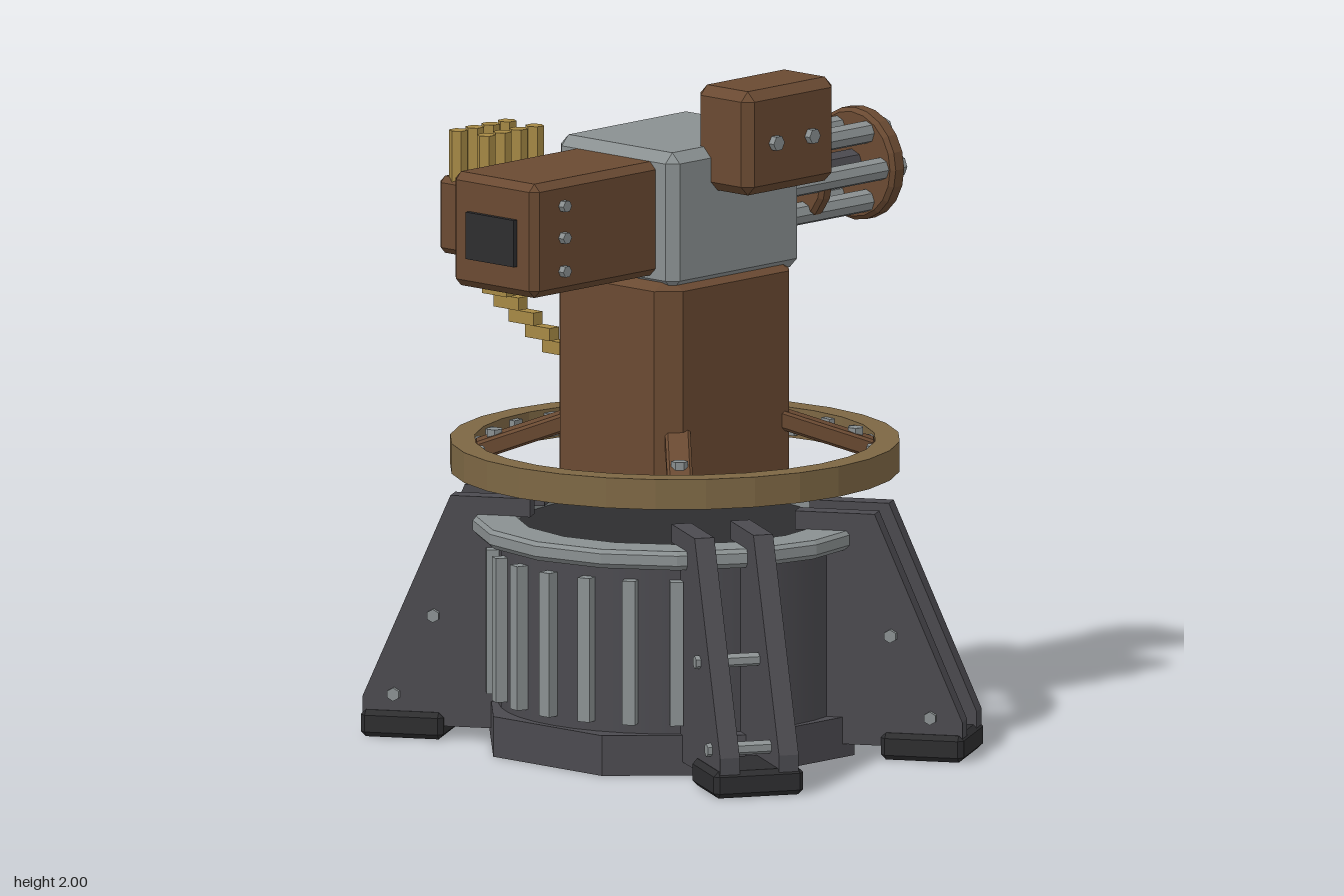
import * as THREE from 'three';
import { ConvexGeometry } from 'three/addons/geometries/ConvexGeometry.js';

const paint = (name, color) => {
  const m = new THREE.MeshStandardMaterial({ color });
  m.name = name;
  return m;
};

export function createModel() {
  const brown = paint('brown armour', 0x6a4a32);
  const grey = paint('light steel', 0x8a9091);
  const dark = paint('dark steel', 0x4b4a4f);
  const black = paint('black', 0x2d2d2f);
  const bronze = paint('bronze ring', 0x7d6744);
  const brass = paint('brass', 0xa68945);

  const model = new THREE.Group();
  const base = new THREE.Group();
  base.name = 'base';
  base.position.z = 0.02;
  const turret = new THREE.Group();
  turret.name = 'turret';
  model.add(base, turret);

  const add = (parent, name, geo, mat, x = 0, y = 0, z = 0) => {
    const m = new THREE.Mesh(geo, mat);
    m.name = name;
    m.position.set(x, y, z);
    parent.add(m);
    return m;
  };
  const flat = (geo) => {
    const g = geo.index ? geo.toNonIndexed() : geo;
    g.computeVertexNormals();
    return g;
  };
  // Box with chamfered edges; c is the chamfer along each axis
  const chamferBox = (w, h, d, c, cy = c, cz = c) => {
    const pts = [];
    for (const sx of [-1, 1]) for (const sy of [-1, 1]) for (const sz of [-1, 1]) {
      const a = w / 2, b = h / 2, e = d / 2;
      pts.push(
        new THREE.Vector3(sx * a, sy * (b - cy), sz * (e - cz)),
        new THREE.Vector3(sx * (a - c), sy * b, sz * (e - cz)),
        new THREE.Vector3(sx * (a - c), sy * (b - cy), sz * e));
    }
    return new ConvexGeometry(pts);
  };
  // Chamfered box given by its limits on each axis
  const block = (parent, name, mat, [x0, x1], [y0, y1], [z0, z1], ...c) =>
    add(parent, name, chamferBox(x1 - x0, y1 - y0, z1 - z0, ...c), mat,
      (x0 + x1) / 2, (y0 + y1) / 2, (z0 + z1) / 2);
  const prism = (r, len, sides) => flat(new THREE.CylinderGeometry(r, r, len, sides));
  const ringBand = (pts, sides) => {
    const p = pts.map(([r, y]) => new THREE.Vector2(r, y));
    return flat(new THREE.LatheGeometry([...p, p[0]], sides));
  };

  // Plinth, drum and rim
  const plinth = add(base, 'plinth', prism(0.574, 0.12, 8), dark, 0, 0.06);
  plinth.rotation.y = Math.PI / 8;
  add(base, 'drum', new THREE.CylinderGeometry(0.51, 0.51, 0.53, 40), dark, 0, 0.375);
  add(base, 'drumTop', new THREE.CylinderGeometry(0.47, 0.47, 0.02, 32), black, 0, 0.645);
  add(base, 'rim', ringBand([[0.5, 0.62], [0.57, 0.62], [0.585, 0.635], [0.585, 0.665],
    [0.575, 0.677], [0.46, 0.677], [0.46, 0.62]], 16), grey);

  // Cooling fins across the front of the drum
  for (let i = -3; i <= 3; i++) {
    const a = i * Math.PI / 12;
    const fin = add(base, 'fin', new THREE.BoxGeometry(0.04, 0.43, 0.06), grey,
      Math.sin(a) * 0.515, 0.365, Math.cos(a) * 0.515);
    fin.rotation.y = a;
  }

  // Four legs, each two plates joined by rods on a foot
  const plateShape = new THREE.Shape([[0.4, 0.73], [0.64, 0.73], [0.905, 0.12], [0.905, 0.04],
    [0.48, 0.04], [0.48, 0.675], [0.4, 0.675]].map(([x, y]) => new THREE.Vector2(x, y)));
  const plateGeo = new THREE.ExtrudeGeometry(plateShape, { depth: 0.06, bevelEnabled: false });
  const footGeo = chamferBox(0.25, 0.08, 0.274, 0.015);
  const rodGeo = prism(0.02, 0.27, 6).rotateX(Math.PI / 2);
  for (const deg of [30, 150, 210, 330]) {
    const leg = new THREE.Group();
    leg.name = 'leg';
    leg.rotation.y = -deg * Math.PI / 180;
    base.add(leg);
    for (const z of [-0.12, 0.06]) add(leg, 'legPlate', plateGeo, dark, 0, 0, z);
    add(leg, 'foot', footGeo, black, 0.785, 0.04);
    for (const [r, y] of [[0.81, 0.13], [0.69, 0.37]]) add(leg, 'legRod', rodGeo, grey, r, y);
  }

  // Slewing ring with inner teeth, held by four struts
  const ring = new THREE.Group();
  ring.name = 'slewingRing';
  ring.position.set(0.012, 0, 0.02);
  turret.add(ring);
  add(ring, 'outerRing', ringBand([[0.59, 0.82], [0.662, 0.82], [0.662, 0.91], [0.59, 0.91]], 28), bronze);
  for (let i = 0; i < 24; i++) {
    const a = (i + 0.5) * Math.PI / 12;
    const tooth = add(ring, 'tooth', new THREE.BoxGeometry(0.04, 0.07, 0.025), grey,
      Math.sin(a) * 0.58, 0.865, Math.cos(a) * 0.58);
    tooth.rotation.y = a;
  }
  for (let i = 0; i < 4; i++) {
    const arm = new THREE.Group();
    arm.name = 'strutArm';
    arm.rotation.y = Math.PI / 4 + i * Math.PI / 2;
    ring.add(arm);
    const strut = add(arm, 'strut', chamferBox(0.33, 0.055, 0.075, 0.008), brown, 0.425, 0.93);
    strut.rotation.z = -0.32;
    add(arm, 'strutBolt', prism(0.025, 0.04, 6), grey, 0.53, 0.92);
  }

  // Neck and pedestal
  add(turret, 'neck', new THREE.CylinderGeometry(0.19, 0.19, 0.08, 24), dark, 0.01, 0.79, 0.02);
  block(turret, 'pedestal', brown, [-0.24, 0.26], [0.78, 1.45], [-0.265, 0.307], 0.06, 0.04, 0.06);

  // Receiver, rear housing and screen
  block(turret, 'receiver', grey, [-0.23, 0.25], [1.41, 1.82], [-0.28, 0.28], 0.03);
  block(turret, 'rearHousing', brown, [-0.16, 0.18], [1.45, 1.79], [0.25, 0.795], 0.022);
  add(turret, 'screen', new THREE.BoxGeometry(0.195, 0.14, 0.03), black, 0.012, 1.61, 0.795);
  const boltGeo = prism(0.018, 0.03, 6).rotateZ(Math.PI / 2);
  for (const y of [1.52, 1.62, 1.715]) for (const x of [-0.155, 0.185])
    add(turret, 'housingBolt', boltGeo, grey, x, y, 0.675);

  // Sight box
  block(turret, 'sightBox', brown, [0.18, 0.4], [1.69, 2], [-0.267, 0.117], 0.028);
  for (const z of [0.005, -0.148]) {
    const b = add(turret, 'sightBolt', boltGeo, grey, 0.405, 1.84, z);
    b.scale.set(1, 1.3, 1.3);
  }

  // Ammunition box with upright rounds
  block(turret, 'ammoBox', brown, [-0.36, -0.15], [1.5, 1.73], [0.37, 0.645], 0.018);
  for (const x of [-0.302, -0.19]) for (const z of [0.405, 0.475, 0.543, 0.612])
    add(turret, 'round', prism(0.028, 0.17, 6), brass, x, 1.785, z);

  // Feed belt curving down to the ring
  const belt = new THREE.CatmullRomCurve3([[-0.385, 1.615, 0.43], [-0.48, 1.55, 0.37],
    [-0.565, 1.47, 0.29], [-0.595, 1.37, 0.2], [-0.615, 1.25, 0.07], [-0.57, 1.165, 0],
    [-0.485, 1.075, -0.06], [-0.39, 1.005, -0.11], [-0.31, 0.97, -0.14]]
    .map((p) => new THREE.Vector3(...p)));
  const linkGeo = new THREE.BoxGeometry(0.1, 0.038, 0.04);
  for (const p of belt.getSpacedPoints(16)) add(turret, 'beltLink', linkGeo, brass, p.x, p.y, p.z);

  // Rotary barrels pointing to the rear
  const gun = new THREE.Group();
  gun.name = 'rotaryGun';
  gun.position.set(0.012, 1.625, 0);
  turret.add(gun);
  const along = (g) => g.rotateX(Math.PI / 2);
  const spindleGeo = along(prism(0.045, 0.53, 8));
  add(gun, 'spindle', spindleGeo, dark, 0, 0, -0.535);
  const barrelGeo = along(prism(0.034, 0.55, 8));
  const collarGeo = along(prism(0.038, 0.06, 8));
  for (let i = 0; i < 6; i++) {
    const a = i * Math.PI / 3, x = Math.cos(a) * 0.118, y = Math.sin(a) * 0.118;
    add(gun, 'barrel', barrelGeo, grey, x, y, -0.535);
    add(gun, 'barrelCollar', collarGeo, dark, x, y, -0.295);
  }
  const discGeo = (r, t, sides) => {
    const p = [[0, -t], [r - 0.012, -t], [r, -t + 0.012], [r, t - 0.012], [r - 0.012, t], [0, t]];
    return along(flat(new THREE.LatheGeometry(p.map(([a, b]) => new THREE.Vector2(a, b)), sides)));
  };
  add(gun, 'midClamp', discGeo(0.142, 0.026, 16), brown, 0, 0, -0.488);
  add(gun, 'muzzleDisc', discGeo(0.168, 0.03, 20), brown, 0, 0, -0.762);

  return model;
}
